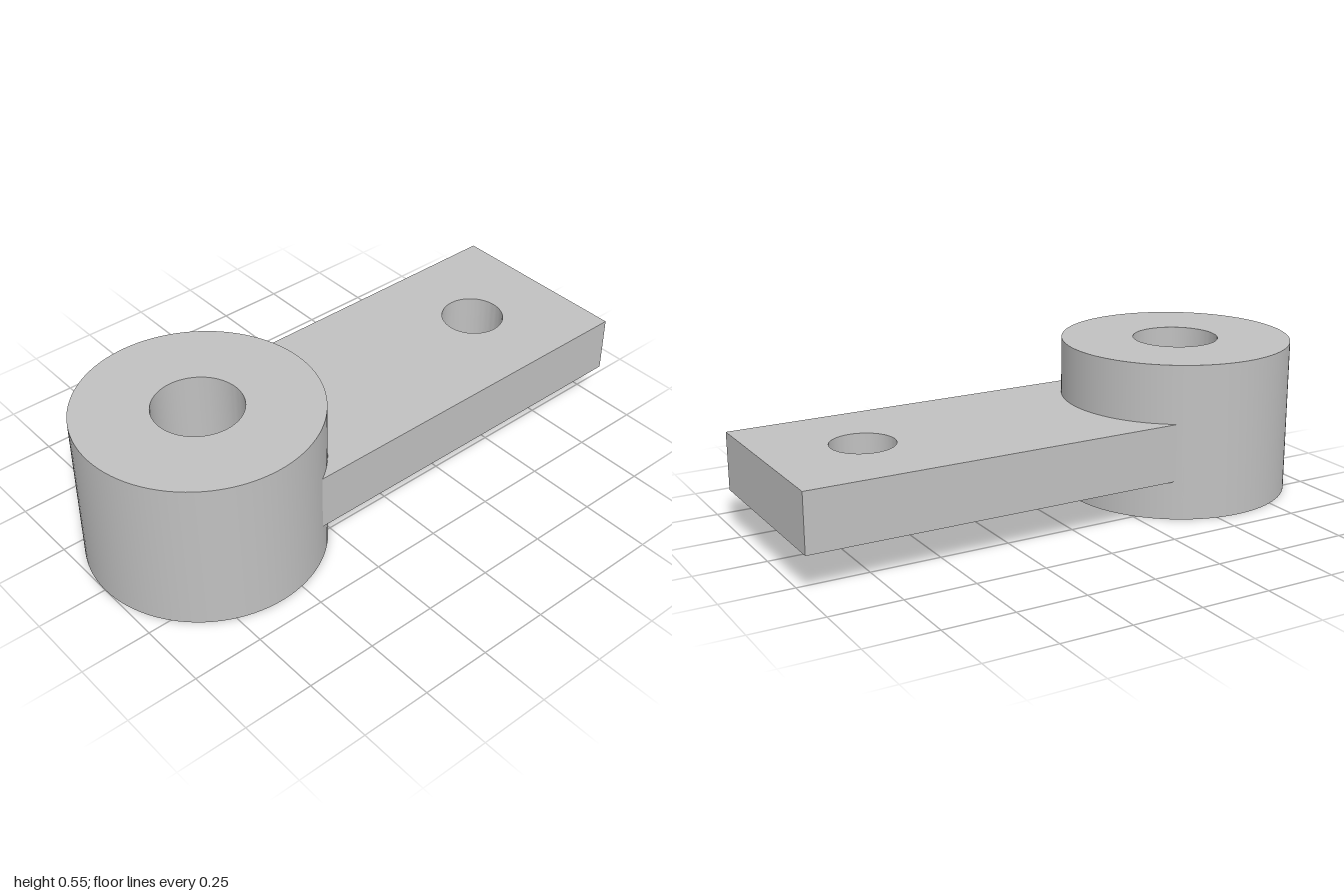
import * as THREE from 'three';
import { toCreasedNormals } from 'three/addons/utils/BufferGeometryUtils.js';

const HUB_X = -0.587, HUB_R = 0.413, HUB_H = 0.553, BORE_R = 0.153;
const ARM_BOTTOM = 0.139, ARM_TOP = 0.345, ARM_HALF = 0.345;
const HOLE_X = 0.653, HOLE_R = 0.112;

function circlePath(x, r) {
  return new THREE.Path().absarc(x, 0, r, 0, Math.PI * 2, true);
}

// Extrude a plan outline upwards from y0 to y1, keeping the rims sharp
function plate(name, shape, y0, y1, material) {
  const extruded = new THREE.ExtrudeGeometry(shape, {
    depth: y1 - y0, bevelEnabled: false, curveSegments: 48,
  });
  extruded.rotateX(-Math.PI / 2).translate(0, y0, 0);
  const mesh = new THREE.Mesh(toCreasedNormals(extruded, Math.PI / 6), material);
  mesh.name = name;
  return mesh;
}

export function createModel() {
  const model = new THREE.Group();
  model.name = 'pivotBracket';
  const grey = new THREE.MeshStandardMaterial({ color: 0xc0c0c0 });
  grey.name = 'plain grey';

  // Hub: thick cylinder with a through bore
  const hub = new THREE.Shape().absarc(HUB_X, 0, HUB_R, 0, Math.PI * 2, false);
  hub.holes.push(circlePath(HUB_X, BORE_R));
  model.add(plate('hub', hub, 0, HUB_H, grey));

  // Arm: flat bar with its inner end curved to seat just inside the hub wall
  const seatR = HUB_R - 0.01;
  const a = Math.asin(ARM_HALF / seatR);
  const arm = new THREE.Shape();
  arm.moveTo(1, -ARM_HALF);
  arm.lineTo(1, ARM_HALF);
  arm.absarc(HUB_X, 0, seatR, a, -a, true);
  arm.closePath();
  arm.holes.push(circlePath(HOLE_X, HOLE_R));
  model.add(plate('arm', arm, ARM_BOTTOM, ARM_TOP, grey));

  return model;
}
